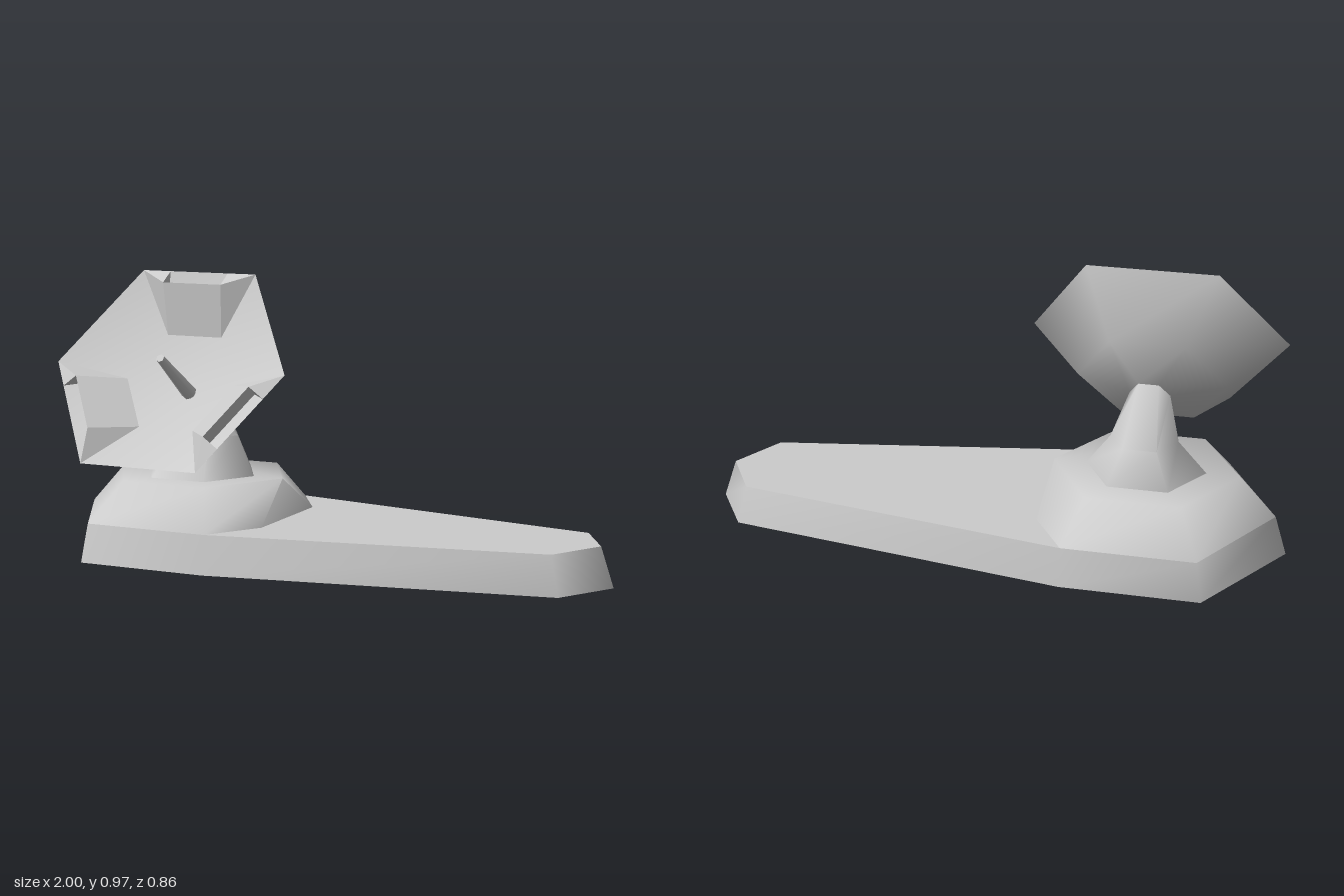
import * as THREE from 'three';
import { toCreasedNormals } from 'three/addons/utils/BufferGeometryUtils.js';

const material = new THREE.MeshStandardMaterial({ color: 0xcccccc, side: THREE.DoubleSide });

// Mesh from a list of triangles; each corner is [x, y, z]
function mesh(name, triangles, crease = 1.1) {
  const g = new THREE.BufferGeometry();
  g.setAttribute('position', new THREE.Float32BufferAttribute(triangles.flat(2), 3));
  g.computeVertexNormals();
  const m = new THREE.Mesh(toCreasedNormals(g, crease), material);
  m.name = name;
  return m;
}

// Closed skin between successive rings with the same number of points
function loft(rings) {
  const tris = [];
  for (let r = 0; r + 1 < rings.length; r++) {
    const lo = rings[r], hi = rings[r + 1], n = lo.length;
    for (let i = 0; i < n; i++) {
      const j = (i + 1) % n;
      tris.push([lo[i], hi[i], lo[j]], [lo[j], hi[i], hi[j]]);
    }
  }
  return tris;
}

// Fan over a convex ring, facing up for rings that run from x towards z
const fan = (p) => p.slice(2).map((q, i) => [p[0], q, p[i + 1]]);

// Six points, each made by a function of the cosine and sine
const hexagon = (f) => Array.from({ length: 6 }, (_, i) =>
  f(Math.cos(i * Math.PI / 3), Math.sin(i * Math.PI / 3)));

function buildBase() {
  const base = new THREE.Group();
  base.name = 'base';
  const zc = -0.025, deckY = 0.135, topY = 0.27;

  // Tapered outer wall, open underneath
  const outline = (tip, end, back, corner, z1, z2, y) => [
    [tip, y, zc], [end, y, zc + z1], [-0.3, y, zc + z2], [-corner, y, zc + z2],
    [-back, y, zc], [-corner, y, zc - z2], [-0.3, y, zc - z2], [end, y, zc - z1]];
  const foot = outline(1, 0.88, 1, 0.77, 0.203, 0.405, 0);
  const rim = outline(0.955, 0.85, 0.96, 0.75, 0.188, 0.389, deckY);
  base.add(mesh('baseWall', loft([foot, rim])));

  // Flat deck on the long tapering end
  base.add(mesh('deck', fan([rim[0], rim[1], rim[2], rim[6], rim[7]])));

  // Hexagonal mound, its inner corner cut off by a steep face
  const top = hexagon((c, s) => [-0.517 + 0.318 * c, topY, zc + 0.318 * s]);
  const cutFront = [-0.18, deckY, 0.175], cutBack = [-0.18, deckY, -0.225];
  const low = [null, rim[2], rim[3], rim[4], rim[5], rim[6]];
  const tris = fan(top);
  for (let i = 1; i < 5; i++) {
    tris.push([low[i], top[i], low[i + 1]], [low[i + 1], top[i], top[i + 1]]);
  }
  tris.push([cutFront, top[0], low[1]], [low[1], top[0], top[1]]);
  tris.push([low[5], top[5], cutBack], [cutBack, top[5], top[0]]);
  tris.push([cutBack, top[0], cutFront]);
  base.add(mesh('mound', tris));
  return base;
}

// Bent neck: two level rings and a tilted one that meets the back of the dish
function buildNeck() {
  const x = -0.515;
  return mesh('neck', loft([
    hexagon((c, s) => [x + 0.205 * c, 0.27, -0.023 + 0.205 * s]),
    hexagon((c, s) => [x + 0.115 * c, 0.4, -0.075 + 0.115 * s]),
    hexagon((c, s) => [x + 0.069 * c, 0.525 - 0.056 * s, 0.0125 + 0.04 * s]),
  ]));
}

// Hood on one dish edge, with a slot open towards the rim
function buildHood() {
  const p = (x, y, z) => [[-x, y, z], [x, y, z]];
  const [cornerL, cornerR] = p(0.22, 0.381, 0);
  const [innerL, innerR] = p(0.105, 0.181, -0.098);
  const [lipL, lipR] = p(0.1125, 0.321, 0.024);
  const [slotL, slotR] = p(0.1125, 0.381, 0);
  const [floorL, floorR] = p(0.1125, 0.321, -0.03);
  return mesh('hood', [
    [innerL, innerR, lipR], [innerL, lipR, lipL],
    [innerL, lipL, cornerL], [innerR, cornerR, lipR],
    [cornerL, lipL, slotL], [cornerR, slotR, lipR],
    [slotL, lipL, floorL], [slotR, floorR, lipR],
    [lipL, lipR, floorR], [lipL, floorR, floorL],
  ], 0.3);
}

// Dish built facing +z, then tipped back
function buildDish() {
  const dish = new THREE.Group();
  dish.name = 'dish';
  const ring = (r, z) => hexagon((c, s) => [r * c, r * s, z]);
  const rim = ring(0.44, 0), end = ring(0.069, -0.24);
  dish.add(mesh('dishShell', [...loft([rim, ring(0.255, -0.187), end]), ...fan(end)]));
  dish.add(mesh('dishBowl', rim.map((a, i) => [[0, 0, -0.187], a, rim[(i + 1) % 6]])));

  for (let i = 0; i < 3; i++) {
    const hood = buildHood();
    hood.rotation.z = i * Math.PI * 2 / 3;
    dish.add(hood);
  }

  // Tapered feed rod on the axis
  const rodShape = new THREE.CylinderGeometry(0.015, 0.028, 0.257, 6);
  const rod = new THREE.Mesh(rodShape, material);
  rod.name = 'feedRod';
  rod.rotation.x = Math.PI / 2;
  rod.position.z = -0.0585;
  dish.add(rod);

  dish.position.set(-0.515, 0.665, 0.2075);
  dish.rotation.x = -0.6225;
  return dish;
}

export function createModel() {
  const model = new THREE.Group();
  model.name = 'satelliteDish';
  model.add(buildBase(), buildNeck(), buildDish());
  return model;
}
